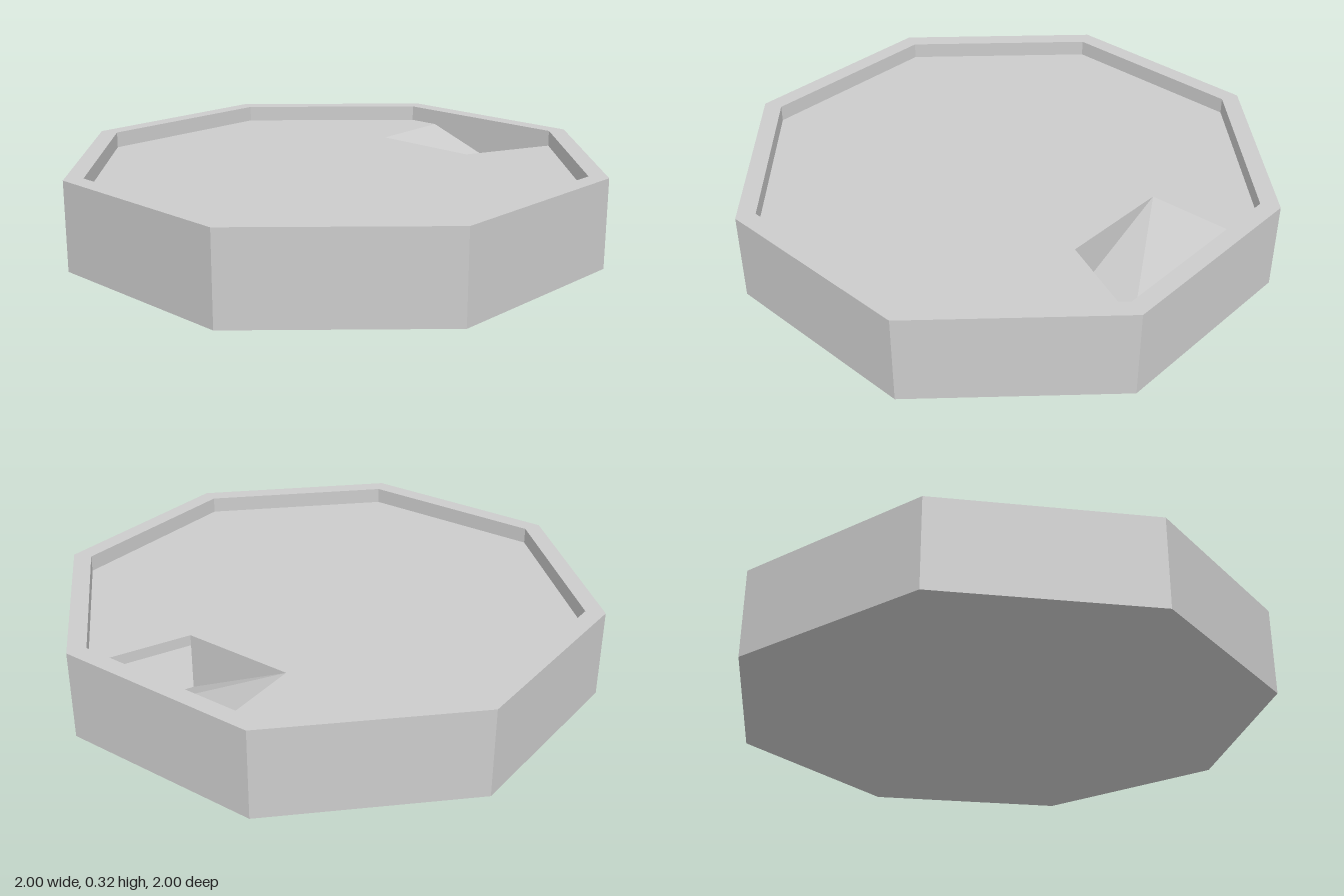
import * as THREE from 'three';

const HEIGHT = 0.325, FLOOR = 0.265, BASE = 0.055, PLATE = 0.04, INNER = 0.93;

export function createModel() {
  const group = new THREE.Group();
  const material = new THREE.MeshStandardMaterial({ color: 0xcccccc, flatShading: true });
  const twoSided = new THREE.MeshStandardMaterial({ color: 0xcccccc, flatShading: true, side: THREE.DoubleSide });
  const add = (name, geometry, mat = material) => {
    const mesh = new THREE.Mesh(geometry, mat);
    mesh.name = name;
    group.add(mesh);
    return mesh;
  };

  // Octagonal shell: underside, outer wall, rim, inner wall and lower floor
  const profile = [[0, 0], [1, 0], [1, HEIGHT], [INNER, HEIGHT], [INNER, BASE], [0, BASE]];
  add('octagonalShell', new THREE.LatheGeometry(profile.map(([r, y]) => new THREE.Vector2(r, y)), 8));

  // Corners of the ramp opening as [x, z]
  const a = [INNER, 0], b = [0.706, -0.541], c = [0.395, -0.393], d = [0.555, 0];

  // Upper floor plate: inner octagon with the opening notched out of one side
  const outline = [b];
  for (let i = 1; i < 8; i++) {
    const t = -i * Math.PI / 4;
    outline.push([INNER * Math.cos(t), INNER * Math.sin(t)]);
  }
  outline.push(a, d, c);
  const shape = new THREE.Shape(outline.map(([x, z]) => new THREE.Vector2(x, -z)));
  const plate = new THREE.ExtrudeGeometry(shape, { depth: PLATE, bevelEnabled: false });
  plate.rotateX(-Math.PI / 2);
  add('upperFloor', plate).position.y = FLOOR - PLATE;

  // Triangles from a list of [corner, height]
  const triangles = (list) => {
    const geometry = new THREE.BufferGeometry();
    const points = list.flatMap(([[x, z], y]) => [x, y, z]);
    geometry.setAttribute('position', new THREE.Float32BufferAttribute(points, 3));
    geometry.computeVertexNormals();
    return geometry;
  };

  // Ramp going down to the lower floor, and the wall along its inner side
  const top = { b: [b, FLOOR], c: [c, FLOOR], d: [d, FLOOR] };
  const low = { a: [a, BASE], d: [d, BASE] };
  add('ramp', triangles([top.b, top.c, low.a, top.c, low.d, low.a]), twoSided);
  add('rampSideWall', triangles([top.c, low.d, top.d]), twoSided);

  return group;
}
